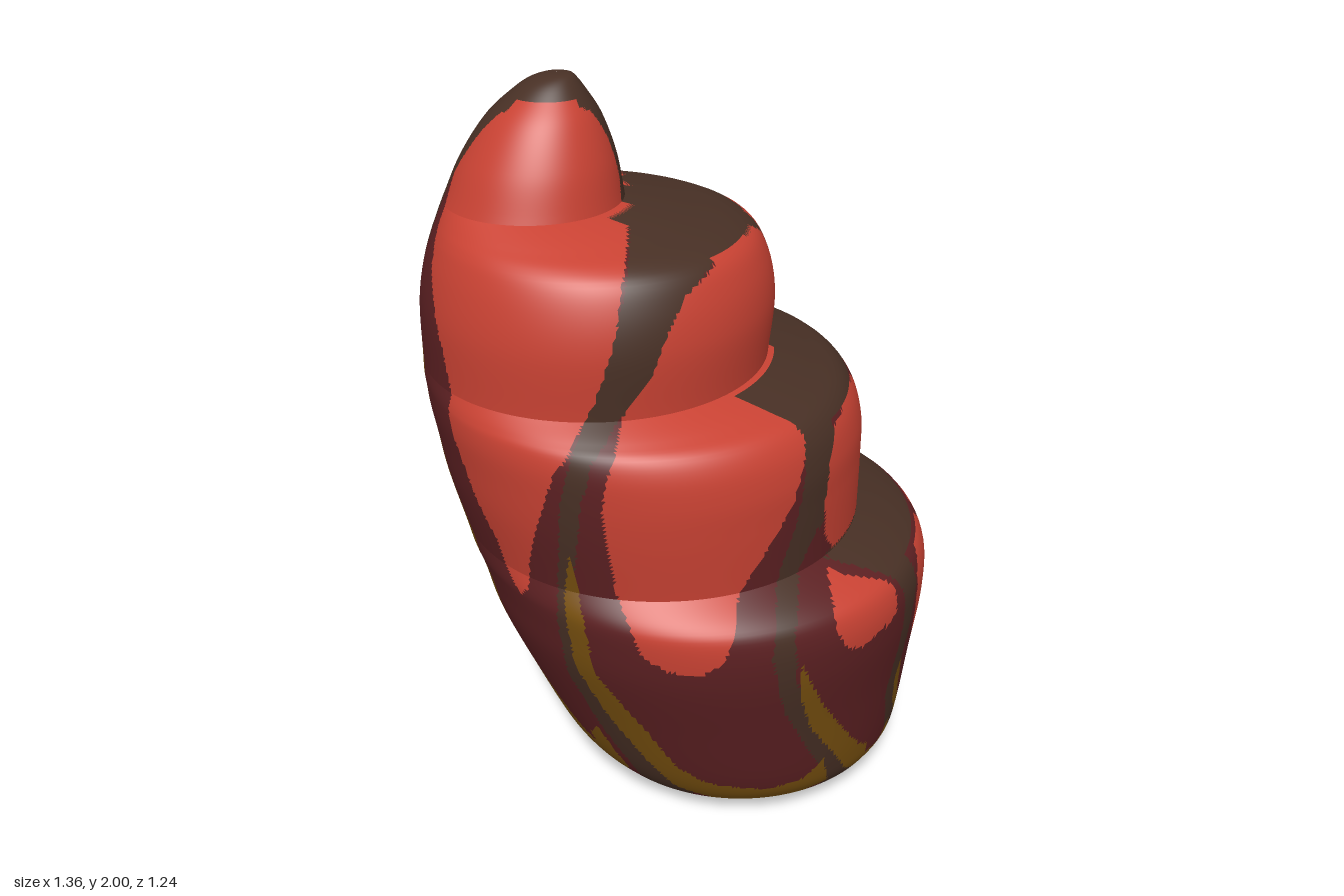
import * as THREE from 'three';

const mat = (name, color) => Object.assign(new THREE.MeshStandardMaterial({ color }), { name });
const RED = 0, MAROON = 1, BROWN = 2, OCHRE = 3;
const SEGMENTS = 320;

// Painted patches, listed bottom layer first. Each outline is x,y (flank) or |z|,y (face, spine).
const patches = { flank: [], face: [], spine: [] };
const patch = (side, colour, outline) => patches[side].push({ colour, outline });

// Flanks: mirrored on both sides
patch('flank', RED, [-.9, 2.1, -.9, .85, -.47, .8, -.44, .77, -.42, .8, -.41, .9, -.38, 1.05, -.34, 1.18,
  -.27, 1.28, -.22, 1.33, -.19, 1.45, -.17, 1.6, -.14, 1.69, .3, 1.69, .3, 2.1]);
patch('flank', BROWN, [-.14, 1.69, .4, 1.69, .4, 1.63, .16, 1.635, .06, 1.62, -.02, 1.57, -.06, 1.5, -.1, 1.4,
  -.17, 1.3, -.25, 1.22, -.28, 1.1, -.3, .9, -.29, .7, -.25, .5, -.15, .33, -.05, .2, 0, .12, 0, .08,
  -.12, .08, -.17, .2, -.25, .35, -.33, .55, -.35, .75, -.34, .9, -.33, 1.1, -.3, 1.22, -.24, 1.33, -.2, 1.45, -.16, 1.6]);
patch('flank', RED, [.5, 1.63, .16, 1.63, .06, 1.615, -.02, 1.57, -.07, 1.48, -.1, 1.4, -.17, 1.3, -.21, 1.2,
  -.23, 1.1, -.2, .85, -.14, .7, -.08, .66, 0, .65, .06, .69, .1, .82, .18, .95, .24, 1.05, .27, 1.16, .3, 1.28, .5, 1.28]);
patch('flank', BROWN, [.2, 1.28, .6, 1.28, .45, 1.22, .4, 1.18, .36, 1.08, .32, .95, .27, .85, .24, .75, .25, .6,
  .3, .42, .4, .23, .47, .08, .36, .08, .35, .2, .29, .33, .22, .5, .18, .7, .2, .82, .25, .98, .27, 1.1, .27, 1.2]);
patch('flank', RED, [.34, .84, .35, .72, .39, .65, .43, .635, .5, .66, .55, .8, .5, .83]);
patch('flank', OCHRE, [-.31, .96, -.28, .75, -.26, .6, -.13, .4, -.05, .26, .03, .2, .2, .165, .3, .185, .35, .245,
  .375, .12, .3, .1, .05, .1, -.05, .15, -.13, .26, -.23, .42, -.31, .6, -.33, .8]);
patch('flank', OCHRE, [.26, .66, .32, .5, .38, .38, .46, .23, .52, .17, .57, .22, .57, .12, .46, .1, .42, .16, .38, .25, .3, .4, .26, .55]);
patch('flank', OCHRE, [-.41, .4, -.3, .2, -.26, .33, -.22, .25, -.18, .17, -.17, .12, -.3, .1, -.5, .1]);
patch('flank', BROWN, [-.4, 1.95, 0, 1.95, 0, 2.1, -.6, 2.1, -.6, 1.95]);

// Stepped face (+x)
patch('face', BROWN, [0, 1.2, .6, 1.2, .6, 2.1, 0, 2.1]);
patch('face', RED, [.07, 1.69, .045, 1.75, .045, 1.85, .06, 1.92, .1, 1.95, .4, 1.95, .4, 1.69]);
patch('face', RED, [.006, 1.59, .05, 1.62, .3, 1.625, .5, 1.62, .5, 1.28, .04, 1.28, .012, 1.38]);
patch('face', BROWN, [.3, 1.2, .6, 1.2, .47, .84, .42, .84, .38, .95, .36, 1.1]);
patch('face', RED, [0, 1.15, .03, 1.19, .2, 1.2, .31, 1.18, .37, 1.1, .38, 1, .37, .9, .33, .83, .08, .83, .06, .95, 0, 1.08]);
patch('face', BROWN, [-.01, .76, .3, .76, .36, .835, -.01, .835]);
patch('face', BROWN, [.37, .835, .36, .7, .345, .45, .34, .35, .28, .2, .2, .08, .12, .08, .2, .18, .27, .3, .29, .45, .3, .6, .27, .76]);
patch('face', RED, [0, .72, .04, .75, .2, .755, .27, .7, .275, .62, .25, .52, .2, .44, .13, .385, .09, .38, .06, .41, .03, .52, 0, .55]);
patch('face', RED, [.38, .75, .4, .67, .45, .635, .5, .67, .53, .8, .42, .82]);
patch('face', OCHRE, [.5, .34, .42, .21, .35, .155, .29, .145, .25, .2, .23, .14, .26, .1, .5, .1]);
patch('face', OCHRE, [.29, .45, .24, .3, .17, .19, .12, .16, .08, .21, .04, .14, .04, .1, .14, .1, .2, .18, .27, .28, .3, .38]);
patch('face', BROWN, [-.01, .2, .005, .2, .025, .1, -.01, .1]);

// Smooth spine (-x)
patch('spine', RED, [.03, 1.8, .09, 1.65, .2, 1.5, .25, 1.4, .29, 1.2, .345, .95, .38, .8, .9, .8, .9, 2.1, -.01, 2.1, -.01, 1.8]);
patch('spine', OCHRE, [-.01, 1.45, .05, 1.4, .09, 1.3, .16, 1, .2, .8, .22, .6, .24, .4, .3, .25, .36, .2, .5, .15, .5, .1, -.01, .1]);
patch('spine', BROWN, [-.01, .9, .012, 1.1, .03, 1.35, .03, 1.7, .065, 1.92, .1, 1.95, .3, 1.95, .3, 2.1, -.01, 2.1]);

function inside(o, u, v) {
  let hit = false;
  for (let i = 0, j = o.length - 2; i < o.length; j = i, i += 2) {
    if ((o[i + 1] > v) !== (o[j + 1] > v) &&
      u < (o[j] - o[i]) * (v - o[i + 1]) / (o[j + 1] - o[i + 1]) + o[i]) hit = !hit;
  }
  return hit;
}

function wallColour(x, y, z, cx) {
  if (y < 0.1) return BROWN;
  const angle = Math.atan2(Math.abs(z), x - cx) * 180 / Math.PI;
  const side = angle < 45 ? 'face' : angle > 140 ? 'spine' : 'flank';
  const u = side === 'flank' ? x : Math.abs(z);
  let colour = MAROON;
  for (const p of patches[side]) if (inside(p.outline, u, y)) colour = p.colour;
  return colour;
}

// Underside: red dimple, ochre mark at the +x rim
function baseColour(x, y, z, cx) {
  const r = Math.hypot(x - cx, z);
  if (r < 0.06) return RED;
  return r > 0.3 && y < 0.09 && x > cx && Math.abs(z) < 0.13 ? OCHRE : BROWN;
}

// Loft of offset circles; each profile row is [y, xMin, xMax]
function tier(name, profile, rows, colourAt, materials) {
  const curve = new THREE.CatmullRomCurve3(
    profile.map(([y, a, b]) => new THREE.Vector3((a + b) / 2, y, (b - a) / 2)), false, 'centripetal');
  const rings = curve.getSpacedPoints(rows);
  const pos = [], buckets = [[], [], [], []];
  for (const { x: cx, y, z: r } of rings) {
    for (let j = 0; j < SEGMENTS; j++) {
      const t = j / SEGMENTS * Math.PI * 2;
      pos.push(cx + r * Math.cos(t), y, r * Math.sin(t));
    }
  }
  const add = (cx, ...tri) => {
    const mean = k => tri.reduce((s, v) => s + pos[v * 3 + k], 0) / 3;
    buckets[colourAt(mean(0), mean(1), mean(2), cx)].push(...tri);
  };
  for (let i = 0; i < rows; i++) {
    const cx = (rings[i].x + rings[i + 1].x) / 2;
    for (let j = 0; j < SEGMENTS; j++) {
      const k = (j + 1) % SEGMENTS;
      const a = i * SEGMENTS + j, b = i * SEGMENTS + k, c = a + SEGMENTS, d = b + SEGMENTS;
      add(cx, a, c, b);
      add(cx, b, c, d);
    }
  }
  const geo = new THREE.BufferGeometry();
  geo.setAttribute('position', new THREE.Float32BufferAttribute(pos, 3));
  geo.setIndex(buckets.flat());
  let start = 0;
  buckets.forEach((b, m) => {
    if (b.length) geo.addGroup(start, b.length, m);
    start += b.length;
  });
  geo.computeVertexNormals();
  const mesh = new THREE.Mesh(geo, materials);
  mesh.name = name;
  return mesh;
}

export function createModel() {
  const materials = [mat('red', 0xc94233), mat('maroon', 0x5c2022), mat('darkBrown', 0x483025), mat('ochre', 0x78500f)];
  const model = new THREE.Group();
  model.name = 'steppedShell';
  model.add(
    tier('base', [[.035, .119, .121], [.03, .08, .16], [.001, .05, .2], [.002, .04, .21], [.03, -.05, .25], [.05, -.13, .34],
      [.075, -.25, .49], [.085, -.27, .56], [.1, -.295, .61]], 24, baseColour, materials),
    tier('lowerTier', [[.1, -.295, .61], [.14, -.33, .63], [.2, -.37, .64], [.4, -.46, .66], [.6, -.54, .68], [.7, -.565, .675],
      [.75, -.58, .65], [.775, -.59, .61], [.83, -.605, .48]], 64, wallColour, materials),
    tier('middleTier', [[.83, -.605, .48], [1, -.645, .48], [1.1, -.66, .476], [1.18, -.673, .45], [1.225, -.677, .41],
      [1.25, -.68, .34], [1.285, -.68, .222]], 46, wallColour, materials),
    tier('upperTier', [[1.285, -.68, .222], [1.45, -.675, .235], [1.55, -.655, .215], [1.61, -.635, .18], [1.635, -.625, .13],
      [1.66, -.615, .02], [1.695, -.6, -.147]], 46, wallColour, materials),
    tier('tip', [[1.695, -.6, -.147], [1.8, -.55, -.165], [1.9, -.48, -.2], [1.95, -.425, -.23], [1.985, -.375, -.255],
      [1.998, -.335, -.27], [2, -.306, -.304]], 32, wallColour, materials));
  return model;
}
